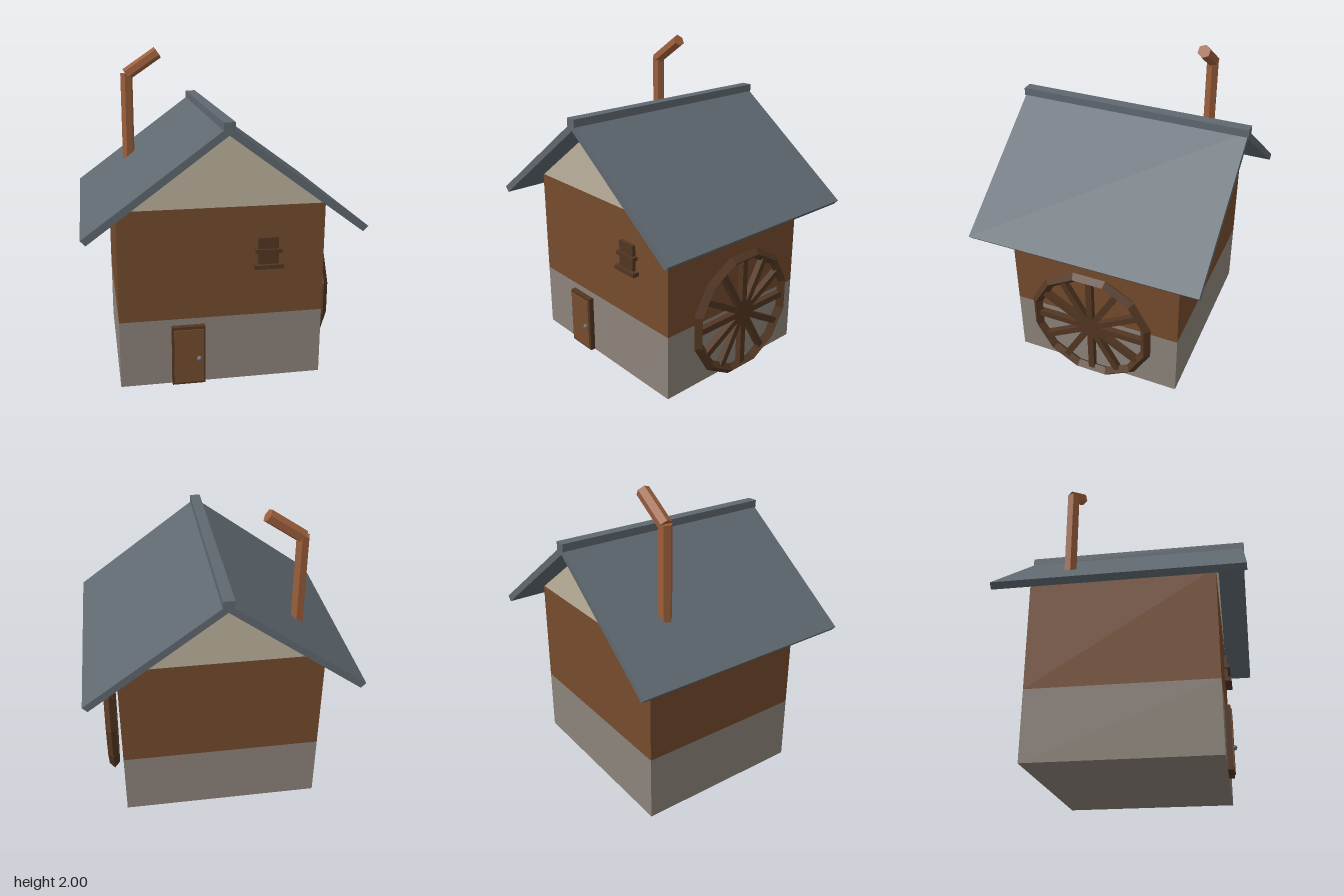
import * as THREE from 'three';

const mat = (name, color) => {
  const m = new THREE.MeshStandardMaterial({ color });
  m.name = name;
  return m;
};

export function createModel() {
  const stone = mat('stone', 0x8c837a);
  const wallWood = mat('wall wood', 0x744b2d);
  const darkWood = mat('dark wood', 0x523622);
  const plaster = mat('plaster', 0xbcb19c);
  const slate = mat('slate', 0x5f6870);
  const copper = mat('copper', 0x9c5f3b);
  const iron = mat('iron', 0x6a727a);
  // The faceted parts need flat normals, so their geometry is un-indexed.
  const faceted = (geo) => {
    const g = geo.index ? geo.toNonIndexed() : geo;
    g.computeVertexNormals();
    return g;
  };

  const model = new THREE.Group();
  model.name = 'millHouse';
  const add = (name, geo, material, x = 0, y = 0, z = 0, parent = model) => {
    const mesh = new THREE.Mesh(geo, material);
    mesh.name = name;
    mesh.position.set(x, y, z);
    parent.add(mesh);
    return mesh;
  };
  // Box given by its limits on each axis
  const box = (name, material, [x0, x1], [y0, y1], [z0, z1], parent) =>
    add(name, new THREE.BoxGeometry(x1 - x0, y1 - y0, z1 - z0), material,
      (x0 + x1) / 2, (y0 + y1) / 2, (z0 + z1) / 2, parent);
  // Prism from an outline in the xy plane, centred on z = 0
  const prism = (name, material, points, depth) => {
    const shape = new THREE.Shape(points.map(([x, y]) => new THREE.Vector2(x, y)));
    const geo = new THREE.ExtrudeGeometry(shape, { depth, bevelEnabled: false });
    return add(name, geo, material, 0, 0, -depth / 2);
  };

  // Walls and gables
  box('stoneBase', stone, [-0.633, 0.633], [0, 0.428], [-0.56, 0.56]);
  box('woodenWalls', wallWood, [-0.633, 0.633], [0.428, 1.125], [-0.56, 0.56]);
  prism('gable', plaster, [[-0.633, 1.125], [0.633, 1.125], [0, 1.59]], 1.12);

  // Roof slopes and ridge
  prism('roof', slate, [
    [-0.838, 1.022], [-0.808, 0.99], [0, 1.585],
    [0.808, 0.99], [0.838, 1.022], [0, 1.637],
  ], 1.476);
  box('ridgeBeam', slate, [-0.034, 0.034], [1.61, 1.66], [-0.745, 0.745]);

  // Door
  const door = new THREE.Group();
  door.name = 'door';
  model.add(door);
  box('doorFrame', darkWood, [-0.316, -0.11], [0.003, 0.387], [0.55, 0.593], door);
  box('doorPanel', wallWood, [-0.304, -0.122], [0.018, 0.368], [0.58, 0.6], door);
  add('doorKnob', faceted(new THREE.SphereGeometry(0.016, 8, 6)), iron, -0.15, 0.175, 0.602, door);

  // Shuttered window
  const win = new THREE.Group();
  win.name = 'window';
  model.add(win);
  box('shutter', darkWood, [0.216, 0.342], [0.75, 0.927], [0.55, 0.582], win);
  box('crossBar', darkWood, [0.2, 0.362], [0.833, 0.858], [0.55, 0.597], win);
  box('windowSill', darkWood, [0.19, 0.372], [0.735, 0.76], [0.55, 0.604], win);

  // Water wheel: twelve-sided rim with crossing spokes, turned to face +x
  const wheel = new THREE.Group();
  wheel.name = 'waterWheel';
  wheel.position.set(0.7, 0.424, 0);
  wheel.rotation.y = Math.PI / 2;
  model.add(wheel);
  const rim = add('rim', faceted(new THREE.TorusGeometry(0.388, 0.034, 4, 12)), darkWood, 0, 0, 0, wheel);
  rim.rotation.z = Math.PI / 12;
  for (let i = 0; i < 6; i++) {
    const spoke = add('spoke', new THREE.BoxGeometry(0.04, 0.75, 0.04), darkWood, 0, 0, 0, wheel);
    spoke.rotation.z = (i * Math.PI) / 6;
  }

  // Bent hexagonal stove pipe
  const pipe = (name, length, turn, lean, x, y) => {
    const geo = new THREE.CylinderGeometry(0.042, 0.042, length, 6);
    geo.rotateY(THREE.MathUtils.degToRad(turn));
    geo.rotateZ(THREE.MathUtils.degToRad(lean));
    add(name, faceted(geo), copper, x, y, -0.352);
  };
  pipe('uprightPipe', 0.63, -18, 0, -0.492, 1.515);
  pipe('slantedPipe', 0.258, 22, -56, -0.387, 1.894);

  return model;
}
